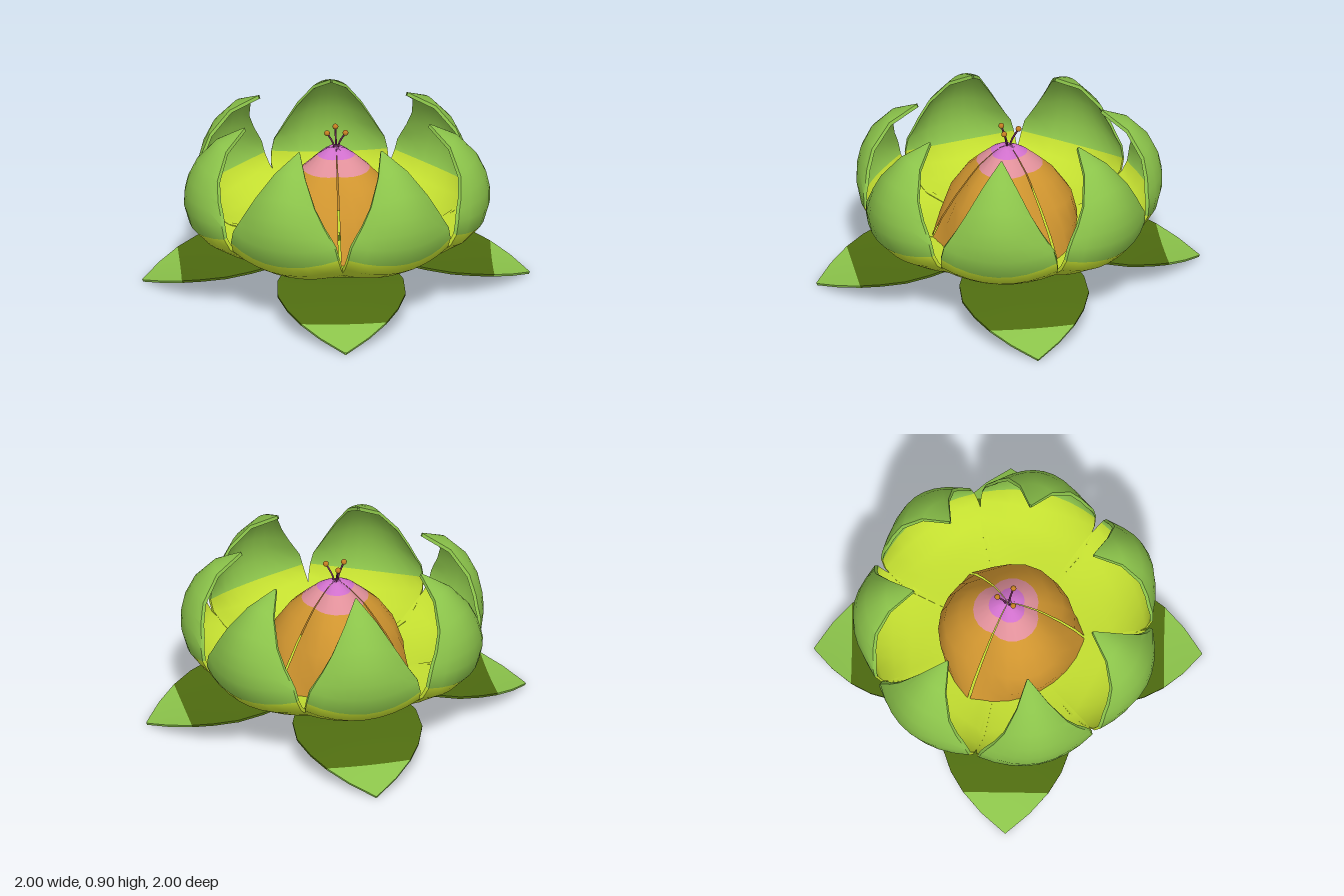
import * as THREE from 'three';
import { toCreasedNormals } from 'three/addons/utils/BufferGeometryUtils.js';

const mat = (name, color, side = THREE.FrontSide) =>
  Object.assign(new THREE.MeshStandardMaterial({ color, side }), { name });

// Surface through a list of cross-sections; bands = first row of each material
function loft(sections, bands) {
  const cols = sections[0].length, index = [];
  const g = new THREE.BufferGeometry();
  g.setAttribute('position', new THREE.Float32BufferAttribute(sections.flat(2), 3));
  for (let i = 0; i < sections.length - 1; i++) {
    for (let j = 0; j < cols - 1; j++) {
      const a = i * cols + j, c = a + cols;
      index.push(a, a + 1, c, a + 1, c + 1, c);
    }
  }
  g.setIndex(index);
  const perRow = (cols - 1) * 6;
  bands.forEach((start, k) => {
    const end = bands[k + 1] ?? sections.length - 1;
    g.addGroup(start * perRow, (end - start) * perRow, k);
  });
  return toCreasedNormals(g, 0.8);
}

// Thin cupped blade pointing along +z; rows are [radius, height, half width, cup depth]
function blade(rows, thickness, bands) {
  const across = 8;
  const sections = rows.map(([r, y, w, d], i) => {
    const p = rows[Math.max(i - 1, 0)], q = rows[Math.min(i + 1, rows.length - 1)];
    const n = new THREE.Vector2(-(q[1] - p[1]), q[0] - p[0]).normalize();
    const at = (s, t) => {
      const o = d * s * s + t;
      return [w * s, y + n.y * o, r + n.x * o];
    };
    const loop = [];
    for (let j = 0; j <= across; j++) loop.push(at(-1 + 2 * j / across, 0));
    for (let j = across; j >= 0; j--) loop.push(at(-1 + 2 * j / across, thickness));
    loop.push(loop[0]);
    return loop;
  });
  return loft(sections, bands);
}

export function createModel() {
  const model = new THREE.Group();
  model.name = 'flower';
  const green = mat('green', 0x8bc34a, THREE.DoubleSide);
  const lime = mat('lime', 0xc3de30, THREE.DoubleSide);
  const olive = mat('olive', 0x4e6b10, THREE.DoubleSide);
  const orange = mat('orange', 0xd0952f, THREE.DoubleSide);
  const pink = mat('pink', 0xe0909a, THREE.DoubleSide);
  const magenta = mat('magenta', 0xd070cc, THREE.DoubleSide);
  const purple = mat('purple', 0x7a2f60);
  const amber = mat('amber', 0xc47d22);

  const ring = (name, geometry, materials, count, start) => {
    const group = new THREE.Group();
    group.name = name + 's';
    for (let i = 0; i < count; i++) {
      const mesh = new THREE.Mesh(geometry, materials);
      mesh.name = name;
      mesh.rotation.y = start + i * Math.PI * 2 / count;
      group.add(mesh);
    }
    model.add(group);
  };

  // Four drooping leaves with pale tips
  ring('leaf', blade([
    [0.01, 0.19, 0.01, 0], [0.1, 0.19, 0.1, 0], [0.2, 0.187, 0.2, 0.005],
    [0.3, 0.18, 0.27, 0.01], [0.45, 0.163, 0.325, 0.01], [0.58, 0.138, 0.33, 0.01],
    [0.7, 0.107, 0.285, 0.01], [0.8, 0.076, 0.22, 0.008], [0.9, 0.04, 0.125, 0.004],
    [0.995, 0, 0.003, 0]
  ], 0.012, [0, 7]), [olive, green], 4, 0);

  // Seven cupped outer petals, lime at the base
  ring('outerPetal', blade([
    [0.05, 0.213, 0.03, 0], [0.3, 0.21, 0.15, 0], [0.5, 0.215, 0.255, 0.03],
    [0.6, 0.24, 0.285, 0.06], [0.7, 0.295, 0.302, 0.08], [0.77, 0.37, 0.3, 0.1],
    [0.8, 0.47, 0.285, 0.11], [0.8, 0.55, 0.255, 0.11], [0.783, 0.63, 0.22, 0.095],
    [0.735, 0.73, 0.165, 0.065], [0.63, 0.84, 0.085, 0.03], [0.49, 0.9, 0.004, 0]
  ], 0.018, [0, 5]), [lime, green], 7, Math.PI);

  // Three closed inner petals; rows are [middle radius, height, seam radius, height]
  const budRows = [
    [0.34, 0.22, 0.4, 0.22], [0.36, 0.33, 0.345, 0.34], [0.33, 0.45, 0.27, 0.465],
    [0.25, 0.565, 0.2, 0.565], [0.18, 0.63, 0.15, 0.63], [0.1, 0.7, 0.08, 0.695],
    [0.05, 0.73, 0.04, 0.725], [0.003, 0.74, 0.003, 0.735]
  ];
  const bud = loft(budRows.map(([rm, ym, rs, ys]) => {
    const section = [];
    for (let j = 0; j <= 8; j++) {
      const s = -1 + j / 4, a = s * 1.03, k = s * s;
      const r = rm + (rs - rm) * k, y = ym + (ys - ym) * k;
      section.push([r * Math.sin(a), y, r * Math.cos(a)]);
    }
    return section;
  }), [0, 4, 5]);
  ring('innerPetal', bud, [orange, pink, magenta], 3, Math.PI);

  // Three stamens with round tips
  for (let i = 0; i < 3; i++) {
    const a = Math.PI + i * Math.PI * 2 / 3;
    const at = (r, y) => new THREE.Vector3(r * Math.sin(a), y, r * Math.cos(a));
    const path = new THREE.CatmullRomCurve3([at(0.008, 0.7), at(0.018, 0.76), at(0.055, 0.825)]);
    const filament = new THREE.Mesh(new THREE.TubeGeometry(path, 8, 0.005, 6), purple);
    filament.name = 'filament';
    const anther = new THREE.Mesh(new THREE.SphereGeometry(0.015, 12, 8), amber);
    anther.name = 'anther';
    anther.position.copy(at(0.055, 0.825));
    model.add(filament, anther);
  }
  return model;
}
